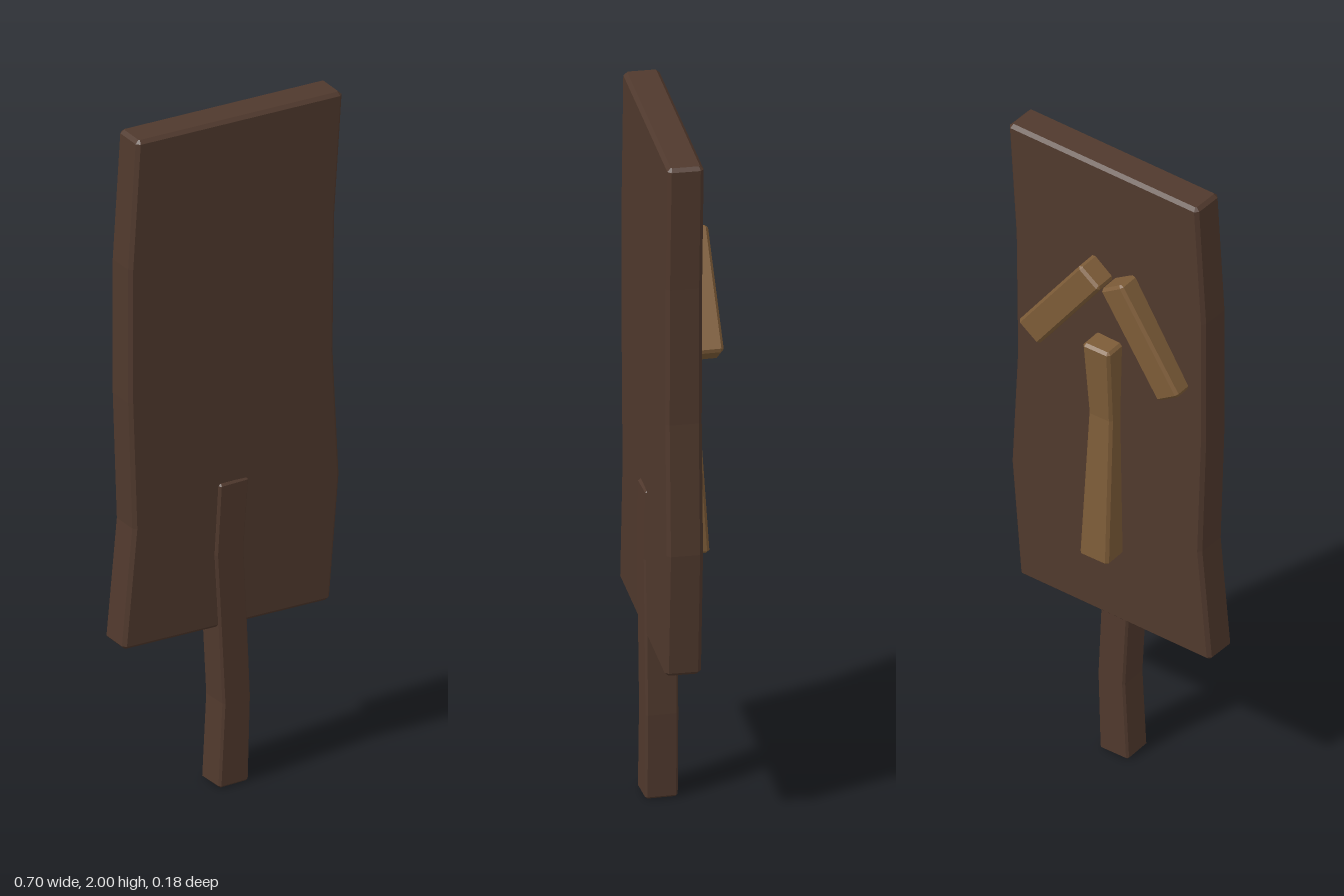
import * as THREE from 'three';

const darkWood = new THREE.MeshStandardMaterial({ color: 0x50392d, flatShading: true });
const paleWood = new THREE.MeshStandardMaterial({ color: 0x7d5c38, flatShading: true });

// Chamfered plank lofted through sections [leftX, leftY, rightX, rightY, backZ, frontZ].
function plank(name, material, sections, bevel) {
  const last = sections.length - 1;

  // Eight-sided ring; "inset" shrinks it, "shift" slides it along the plank.
  const ring = ([xl, yl, xr, yr, zb, zf], inset, cut, shift) => {
    const l = new THREE.Vector2(xl, yl), r = new THREE.Vector2(xr, yr);
    const across = r.clone().sub(l).normalize();
    const along = new THREE.Vector2(-across.y, across.x).multiplyScalar(shift);
    const width = l.distanceTo(r);
    const at = (u, z) => {
      const p = l.clone().addScaledVector(across, u).add(along);
      return [p.x, p.y, z];
    };
    const a = inset, b = width - inset, back = zb + inset, front = zf - inset;
    return [
      at(a + cut, front), at(b - cut, front), at(b, front - cut), at(b, back + cut),
      at(b - cut, back), at(a + cut, back), at(a, back + cut), at(a, front - cut),
    ];
  };

  const rings = [ring(sections[0], bevel, bevel * 0.3, 0)];
  sections.forEach((s, i) => {
    const shift = i === 0 ? bevel : i === last ? -bevel : 0;
    rings.push(ring(s, 0, bevel, shift));
  });
  rings.push(ring(sections[last], bevel, bevel * 0.3, 0));

  const pos = [];
  const tri = (a, b, c) => pos.push(...a, ...b, ...c);
  for (let k = 0; k < rings.length - 1; k++) {
    for (let i = 0; i < 8; i++) {
      const j = (i + 1) % 8, lo = rings[k], hi = rings[k + 1];
      tri(lo[i], lo[j], hi[j]);
      tri(lo[i], hi[j], hi[i]);
    }
  }
  const bottom = rings[0], top = rings[rings.length - 1];
  for (let i = 1; i < 7; i++) {
    tri(bottom[0], bottom[i + 1], bottom[i]);
    tri(top[0], top[i], top[i + 1]);
  }

  const geometry = new THREE.BufferGeometry();
  geometry.setAttribute('position', new THREE.Float32BufferAttribute(pos, 3));
  geometry.computeVertexNormals();
  const mesh = new THREE.Mesh(geometry, material);
  mesh.name = name;
  return mesh;
}

// Straight slanted bar, from its lower end to its upper end.
function bar(name, x0, y0, x1, y1, width) {
  const d = new THREE.Vector2(x1 - x0, y1 - y0).normalize().multiplyScalar(width / 2);
  const section = (x, y, back) => [x - d.y, y + d.x, x + d.y, y - d.x, back, 0];
  return plank(name, paleWood, [section(x0, y0, -0.083), section(x1, y1, -0.086)], 0.008);
}

export function createModel() {
  const model = new THREE.Group();
  model.name = 'signpost';

  // Warped sign board, turned slightly about the post
  const board = plank('signBoard', darkWood, [
    [-0.35, 0.485, 0.305, 0.473, -0.02, 0.08],
    [-0.317, 0.84, 0.335, 0.84, -0.02, 0.08],
    [-0.33, 1.22, 0.316, 1.22, -0.02, 0.08],
    [-0.33, 1.62, 0.321, 1.62, -0.02, 0.08],
    [-0.306, 2.0, 0.345, 1.987, -0.02, 0.08],
  ], 0.01);
  board.rotation.y = -0.038;
  model.add(board);

  // Crooked post
  const post = [[0, -0.055, 0.04], [0.25, -0.042, 0.047], [0.5, -0.055, 0.036],
    [0.7, -0.066, 0.026], [0.91, -0.054, 0.042]];
  model.add(plank('post', darkWood,
    post.map(([y, xl, xr]) => [xl, y, xr, y, -0.005, 0.086]), 0.006));

  // Arrow on the back: shaft thinning at its middle, and two head bars
  const arrow = new THREE.Group();
  arrow.name = 'arrow';
  arrow.add(plank('arrowShaft', paleWood, [
    [-0.05, 0.71, 0.045, 0.71, -0.092, 0],
    [-0.042, 1.18, 0.036, 1.18, -0.063, 0],
    [-0.048, 1.425, 0.042, 1.425, -0.083, 0],
  ], 0.008));
  arrow.add(bar('arrowHeadLeft', 0.225, 1.375, 0.015, 1.66, 0.085));
  arrow.add(bar('arrowHeadRight', -0.244, 1.36, -0.054, 1.657, 0.085));
  model.add(arrow);

  return model;
}
